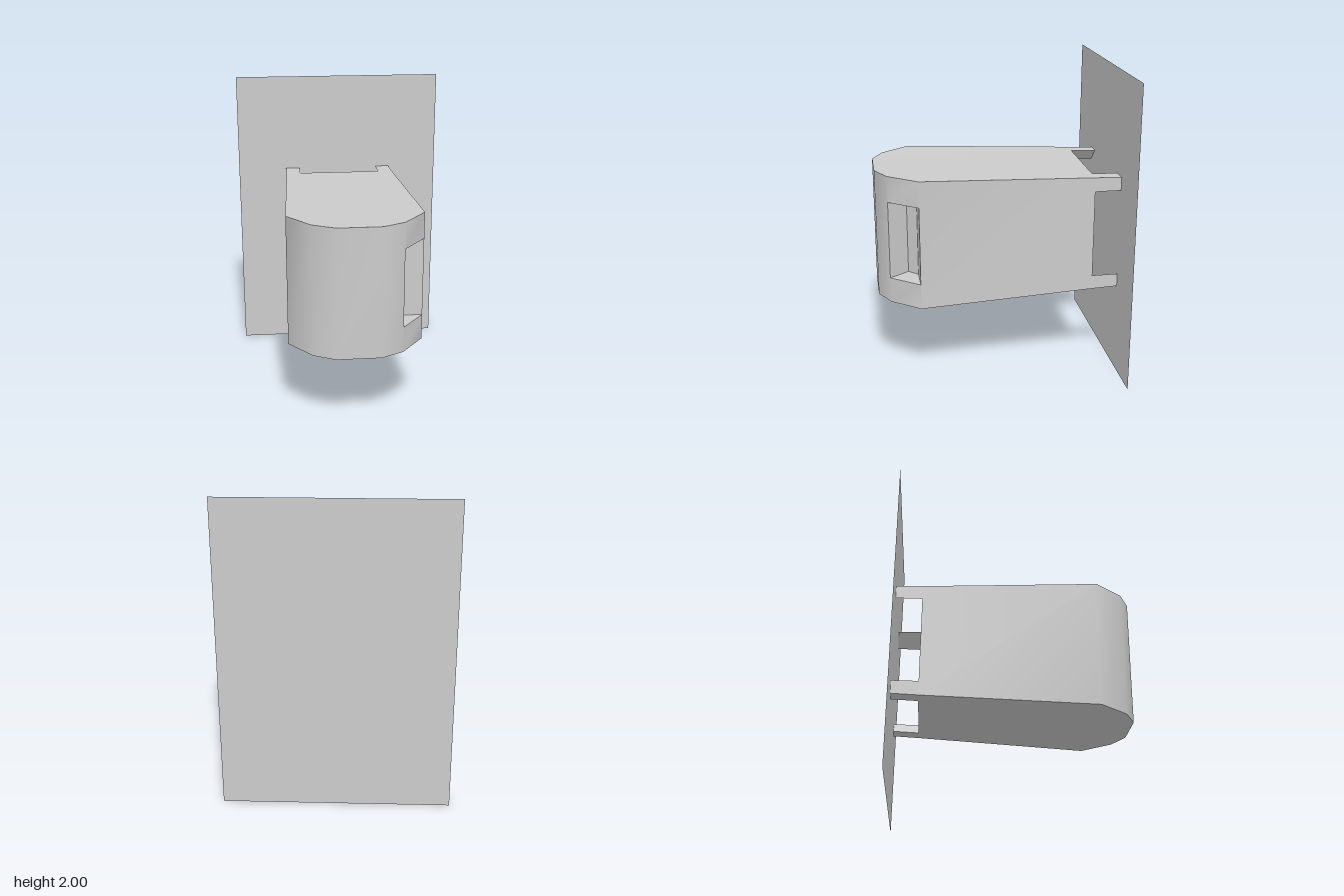
import * as THREE from 'three';
import { toCreasedNormals } from 'three/addons/utils/BufferGeometryUtils.js';

const MID = 0.957;            // height of the body's axis
const BACK = -0.605, END = -0.775;
const WIN_LOW = 0.70, WIN_HIGH = 1.21;

// Half height of the body, tapering towards the back
const half = z => z > 0.52 ? 0.423 : 0.423 - (0.52 - z) * 0.038;
const top = ([x, z]) => [x, MID + half(z), z];
const bottom = ([x, z]) => [x, MID - half(z), z];
const at = ([x, z], y) => [x, y, z];

// Triangulates convex polygons given counter-clockwise as seen from outside
function polygons(list) {
  const pos = [];
  for (const p of list)
    for (let i = 1; i < p.length - 1; i++) pos.push(...p[0], ...p[i], ...p[i + 1]);
  const g = new THREE.BufferGeometry();
  g.setAttribute('position', new THREE.Float32BufferAttribute(pos, 3));
  return g;
}

export function createModel() {
  const group = new THREE.Group();
  const material = new THREE.MeshStandardMaterial({ color: 0xcccccc, side: THREE.DoubleSide });
  const add = (name, geometry) => {
    const mesh = new THREE.Mesh(geometry, material);
    mesh.name = name;
    group.add(mesh);
    return mesh;
  };

  // Back plate
  add('backPlate', new THREE.PlaneGeometry(1.43, 2)).position.set(0, 1, END);

  // Tapered body with a faceted nose; one facet is left open for the window
  const outline = [
    [-0.378, BACK], [-0.425, 0.52], [-0.28, 0.703], [-0.14, 0.775],
    [0.14, 0.775], [0.28, 0.703], [0.425, 0.52], [0.378, BACK],
  ];
  const faces = [outline.map(top), outline.map(bottom).reverse()];
  outline.forEach((a, i) => {
    const b = outline[(i + 1) % outline.length];
    if (i === 5) {
      faces.push([bottom(a), bottom(b), at(b, WIN_LOW), at(a, WIN_LOW)]);
      faces.push([at(a, WIN_HIGH), at(b, WIN_HIGH), top(b), top(a)]);
    } else {
      faces.push([bottom(a), bottom(b), top(b), top(a)]);
    }
  });
  add('body', toCreasedNormals(polygons(faces), 0.8));

  // Recess behind the window
  const recess = [outline[5], outline[6], [0.25, 0.52], [0.19, 0.58]];
  const inner = [
    recess.map(p => at(p, WIN_LOW)),
    recess.map(p => at(p, WIN_HIGH)).reverse(),
  ];
  for (let i = 1; i < 4; i++) {
    const a = recess[i], b = recess[(i + 1) % 4];
    inner.push([at(a, WIN_LOW), at(b, WIN_LOW), at(b, WIN_HIGH), at(a, WIN_HIGH)]);
  }
  add('windowRecess', toCreasedNormals(polygons(inner), 0.3));

  // Triangular corner tabs joining the body to the plate
  for (const sx of [-1, 1]) for (const sy of [-1, 1]) {
    const section = (z, x) => [
      [sx * x, MID + sy * half(z), z],
      [sx * 0.28, MID + sy * half(z), z],
      [sx * x, MID + sy * 0.287, z],
    ];
    const a = section(BACK, 0.378), b = section(END, 0.375);
    const sides = [b];
    for (let i = 0; i < 3; i++) {
      const j = (i + 1) % 3;
      sides.push([a[i], a[j], b[j], b[i]]);
    }
    // Keep the winding outward on the mirrored corners
    const list = sx * sy > 0 ? sides : sides.map(p => [...p].reverse());
    add('cornerTab', toCreasedNormals(polygons(list), 0.3));
  }
  return group;
}
